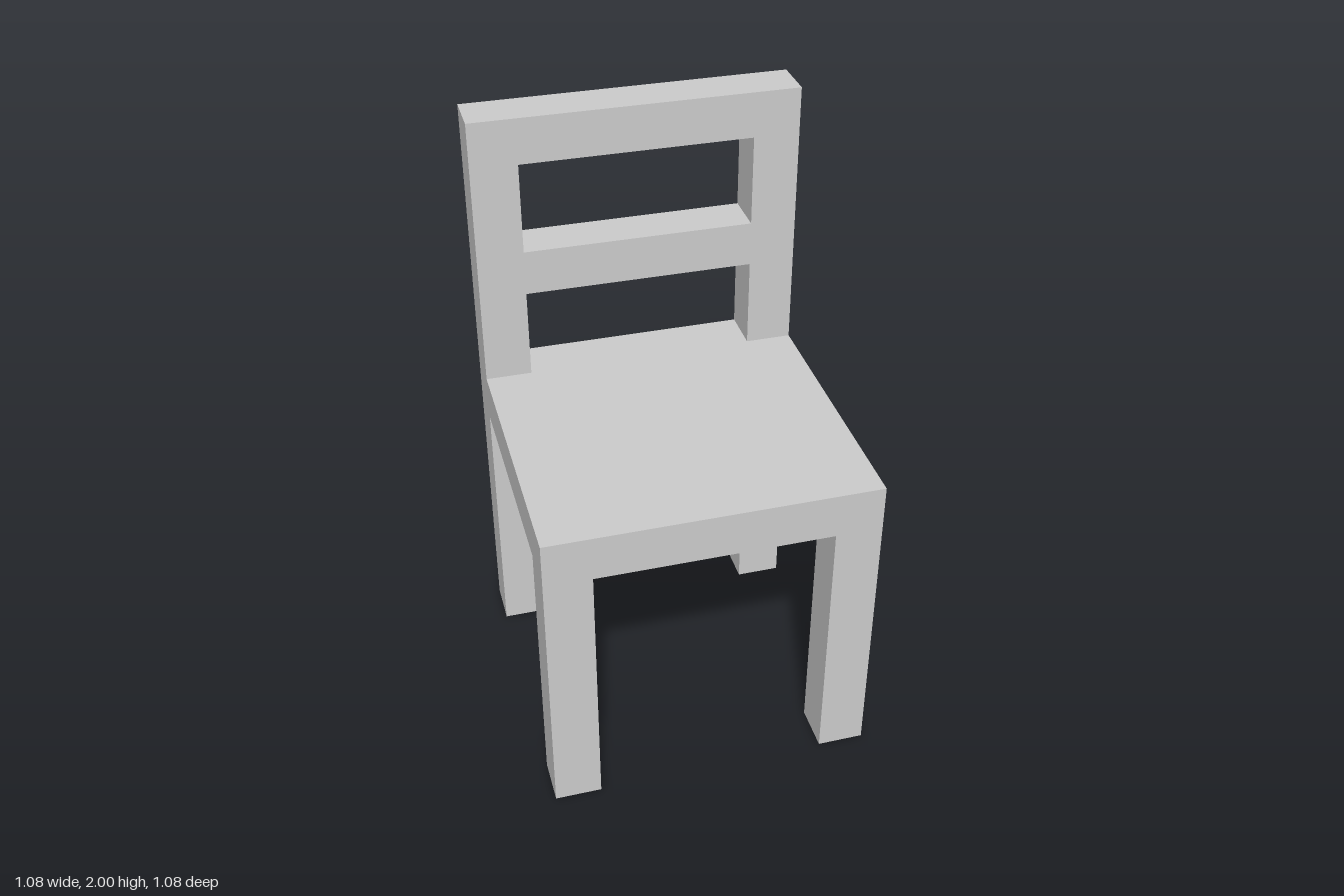
import * as THREE from 'three';

// Everything sits on a 7 x 13 x 7 grid of square beams.
const U = 2 / 13;
const HALF = 3.5;

export function createModel() {
  const chair = new THREE.Group();
  chair.name = 'chair';
  const material = new THREE.MeshStandardMaterial({ color: 0xcccccc, flatShading: true });

  const add = (name, geometry, x, y, z) => {
    const mesh = new THREE.Mesh(geometry, material);
    mesh.name = name;
    mesh.position.set(x * U, y * U, z * U);
    chair.add(mesh);
  };
  const points = (list) => list.map(([x, y]) => new THREE.Vector2(x * U, y * U));

  // Back frame: rear legs, posts and rails in one piece, with two openings
  const inner = HALF - 1;
  const frame = new THREE.Shape(points([
    [-HALF, 0], [-inner, 0], [-inner, 6], [inner, 6],
    [inner, 0], [HALF, 0], [HALF, 13], [-HALF, 13],
  ]));
  for (const [bottom, top] of [[7, 9], [10, 12]]) {
    frame.holes.push(new THREE.Path(points([
      [-inner, bottom], [-inner, top], [inner, top], [inner, bottom],
    ])));
  }
  add('backFrame', new THREE.ExtrudeGeometry(frame, { depth: U, bevelEnabled: false }), 0, 0, -HALF);

  // Seat slab, running forward from the back frame
  add('seat', new THREE.BoxGeometry(7 * U, U, 6 * U), 0, 6.5, 0.5);

  // Front legs
  const leg = new THREE.BoxGeometry(U, 6 * U, U);
  add('frontLegLeft', leg, 3, 3, 3);
  add('frontLegRight', leg, -3, 3, 3);

  return chair;
}
